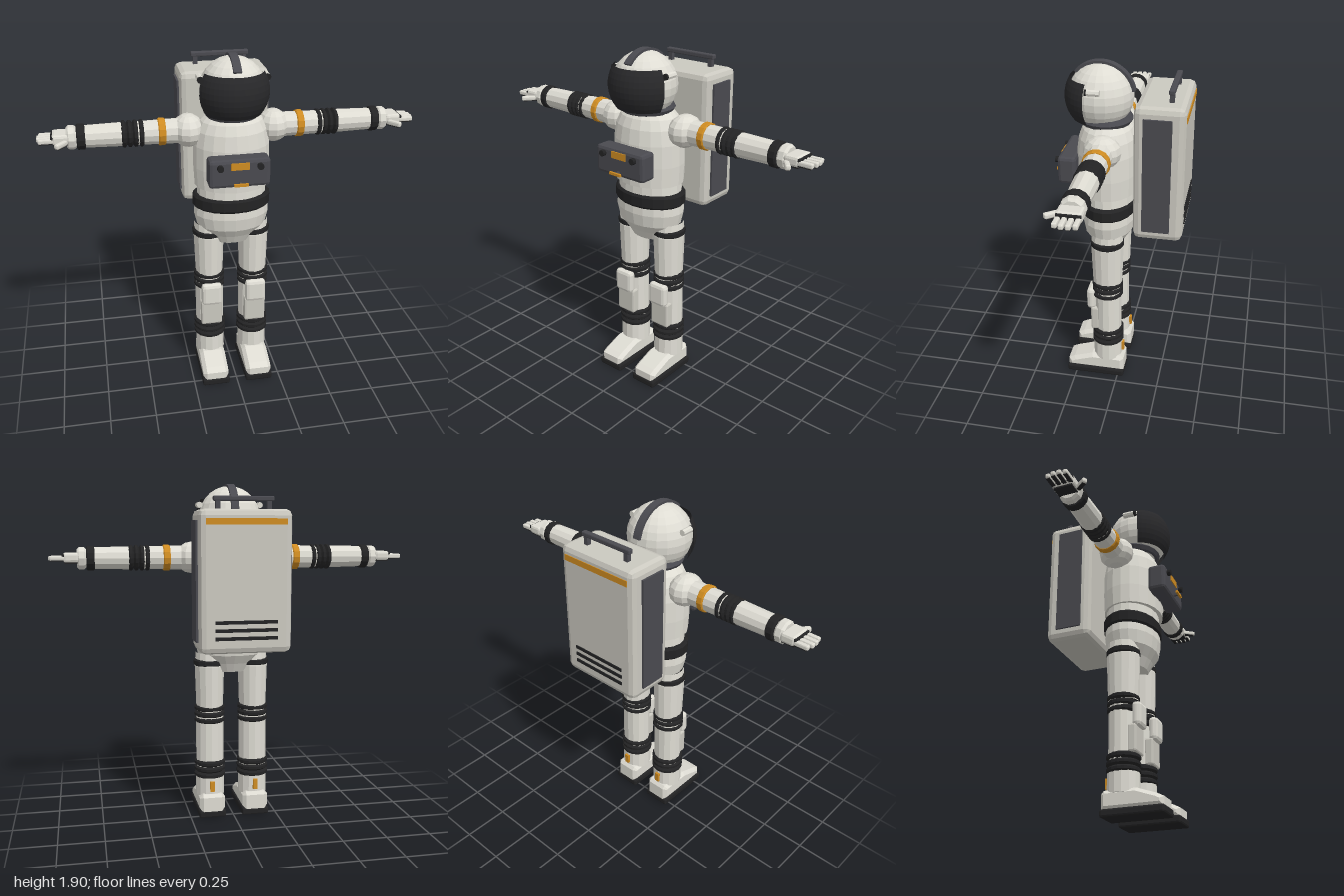
import * as THREE from 'three';
import { RoundedBoxGeometry } from 'three/addons/geometries/RoundedBoxGeometry.js';

const mat = (name, color, extra = {}) => {
  const m = new THREE.MeshStandardMaterial({ color, ...extra });
  m.name = name;
  return m;
};

export function createModel() {
  const suit = mat('suit white', 0xdedcd3);
  const shell = mat('pack grey', 0xcbc9c0);
  const dark = mat('dark grey', 0x4a4a50);
  const black = mat('black rubber', 0x232324);
  const glass = mat('visor', 0x28282a, { side: THREE.DoubleSide });
  const orange = mat('orange', 0xcf8c22);

  const model = new THREE.Group();
  model.name = 'astronaut';

  // Faceted mesh: every face gets its own normal
  function add(parent, name, geometry, material, x = 0, y = 0, z = 0) {
    const g = geometry.index ? geometry.toNonIndexed() : geometry;
    g.computeVertexNormals();
    const mesh = new THREE.Mesh(g, material);
    mesh.name = name;
    mesh.position.set(x, y, z);
    parent.add(mesh);
    return mesh;
  }
  const box = (w, h, d) => new THREE.BoxGeometry(w, h, d);
  const chamfer = (w, h, d, r) => new RoundedBoxGeometry(w, h, d, 1, r);
  const lathe = (pts, sides, depth = 1) =>
    new THREE.LatheGeometry(pts.map(p => new THREE.Vector2(...p)), sides).scale(1, 1, depth);
  // Short band with chamfered rims, centred on its axis
  const band = (r, h, sides = 14, depth = 1, c = 0.012) => lathe(
    [[0, -h / 2], [r - c, -h / 2], [r, -h / 2 + c], [r, h / 2 - c], [r - c, h / 2], [0, h / 2]], sides, depth);
  // Ribbed flexible joint
  function bellows(r, h, ribs, sides = 16) {
    const pts = [[0, -h / 2]], p = h / ribs;
    for (let i = 0; i < ribs; i++) {
      const y = -h / 2 + i * p;
      pts.push([r - 0.013, y], [r, y + p * 0.3], [r, y + p * 0.7], [r - 0.013, y + p]);
    }
    pts.push([0, h / 2]);
    return lathe(pts, sides);
  }
  // Side outline in (z, y), extruded across x
  const sideExtrude = (shape, width, bevel = 0) => new THREE.ExtrudeGeometry(shape, {
    depth: width - 2 * bevel, curveSegments: 18, bevelEnabled: bevel > 0,
    bevelThickness: bevel, bevelSize: bevel, bevelOffset: -bevel, bevelSegments: 1,
  }).translate(0, 0, bevel - width / 2).rotateY(-Math.PI / 2);

  // Body
  add(model, 'torso', lathe([[0, 1.19], [0.2, 1.19], [0.206, 1.3], [0.204, 1.42], [0.19, 1.5],
    [0.165, 1.55], [0.13, 1.585], [0, 1.59]], 20, 0.81), suit, 0, 0, 0.08);
  add(model, 'waist', lathe([[0.19, 1.1], [0.186, 1.2]], 20, 0.77), suit, 0, 0, 0.075);
  add(model, 'belt', band(0.214, 0.076, 20, 0.73), black, 0, 1.1, 0.075);
  add(model, 'hips', lathe([[0, 0.848], [0.11, 0.85], [0.145, 0.9], [0.19, 0.95], [0.207, 1.02],
    [0.203, 1.08], [0, 1.08]], 20, 0.72), suit, 0, 0, 0.075);
  add(model, 'neckRing', new THREE.TorusGeometry(0.122, 0.025, 6, 20).rotateX(Math.PI / 2), dark, 0, 1.594, 0.092);

  // Helmet
  const head = new THREE.Group();
  head.name = 'helmet';
  head.position.set(0, 1.715, 0.115);
  model.add(head);
  add(head, 'helmetShell', new THREE.SphereGeometry(0.173, 20, 14), suit);
  add(head, 'visor', new THREE.SphereGeometry(0.191, 18, 8, 0.32, Math.PI - 0.64, 1.0, 1.24), glass);
  const arc = new THREE.Shape();
  arc.absarc(0, 0, 0.184, 0.74, 2.96, false);
  arc.absarc(0, 0, 0.162, 2.96, 0.74, true);
  add(head, 'crest', sideExtrude(arc, 0.042), dark);
  for (const s of [-1, 1]) {
    add(head, 'lampHousing', new THREE.CylinderGeometry(0.017, 0.017, 0.065, 8).rotateX(Math.PI / 2),
      suit, s * 0.172, 0.068, 0.005);
    add(head, 'lampFront', new THREE.CylinderGeometry(0.017, 0.017, 0.012, 8).rotateX(Math.PI / 2),
      black, s * 0.172, 0.068, 0.043);
  }

  // Chest control box
  add(model, 'chestBox', chamfer(0.32, 0.152, 0.1, 0.018), dark, 0, 1.334, 0.275);
  add(model, 'chestScreen', box(0.096, 0.037, 0.008), orange, 0, 1.376, 0.326);
  add(model, 'chestLeverStem', box(0.012, 0.012, 0.035), dark, 0, 1.286, 0.336);
  add(model, 'chestLever', box(0.074, 0.014, 0.012), orange, 0, 1.286, 0.355);
  for (const s of [-1, 1])
    add(model, 'chestKnob', new THREE.CylinderGeometry(0.017, 0.017, 0.026, 10).rotateX(Math.PI / 2),
      black, s * 0.103, 1.374, 0.333);

  // Backpack
  const pack = new THREE.Group();
  pack.name = 'backpack';
  pack.position.set(0, 1.381, -0.225);
  model.add(pack);
  add(pack, 'packShell', chamfer(0.488, 0.742, 0.262, 0.032), shell);
  add(pack, 'packStripe', box(0.424, 0.032, 0.008), orange, 0, 0.308, -0.131);
  for (let i = 0; i < 3; i++)
    add(pack, 'packVent', box(0.33, 0.018, 0.009), black, 0, -0.205 - i * 0.042, -0.132);
  add(pack, 'packHandleBar', chamfer(0.32, 0.026, 0.03, 0.006), dark, 0, 0.425, -0.047);
  for (const s of [-1, 1]) {
    add(pack, 'packSidePanel', box(0.02, 0.63, 0.146), dark, s * 0.245, 0, 0.008);
    add(pack, 'packHandlePost', box(0.024, 0.06, 0.024), dark, s * 0.135, 0.39, -0.047);
  }

  const bootShape = new THREE.Shape([[-0.035, 0.035], [0.3, 0.035], [0.3, 0.082], [0.265, 0.1],
    [0.155, 0.138], [-0.02, 0.138], [-0.035, 0.12]].map(p => new THREE.Vector2(...p)));

  for (const s of [-1, 1]) {
    const side = s > 0 ? 'left' : 'right';

    // Arm: pieces built along y, laid outward along x
    const arm = new THREE.Group();
    arm.name = side + 'Arm';
    arm.position.set(0, 1.495, 0.065);
    model.add(arm);
    const along = (name, g, m, x) => add(arm, name, g.rotateZ(-s * Math.PI / 2), m, s * x);
    add(arm, 'shoulder', new THREE.SphereGeometry(0.1, 12, 8).scale(0.85, 0.87, 1), suit, s * 0.228);
    along('upperArm', new THREE.CylinderGeometry(0.062, 0.067, 0.24, 12), suit, 0.37);
    along('armBand', band(0.072, 0.038, 14, 1, 0.005), orange, 0.366);
    along('elbowJoint', bellows(0.07, 0.12, 4), black, 0.516);
    along('forearm', new THREE.CylinderGeometry(0.058, 0.063, 0.22, 12), suit, 0.67);
    along('wristRing', band(0.067, 0.044, 14, 1, 0.006), black, 0.778);
    along('gloveCuff', band(0.062, 0.052, 10), suit, 0.825);
    // Hand
    add(arm, 'palm', chamfer(0.085, 0.052, 0.122, 0.014), suit, s * 0.881, 0.004, -0.002);
    add(arm, 'palmGrip', box(0.07, 0.009, 0.1), black, s * 0.881, -0.023, -0.002);
    add(arm, 'knuckleBar', chamfer(0.022, 0.032, 0.116, 0.006), black, s * 0.918, 0.008, -0.002);
    for (let i = 0; i < 4; i++) {
      const z = (i - 1.5) * 0.031 - 0.002, tip = i === 0 || i === 3 ? 0.992 : 1;
      add(arm, 'finger', chamfer(tip - 0.91, 0.025, 0.025, 0.007), suit, s * (tip + 0.91) / 2, 0.001, z);
      add(arm, 'fingerGrip', box(tip - 0.925, 0.008, 0.02), black, s * (tip + 0.91) / 2, -0.011, z);
    }
    const thumb = add(arm, 'thumb', chamfer(0.08, 0.027, 0.027, 0.008), suit, s * 0.878, -0.008, 0.082);
    thumb.rotation.y = -s * 0.92;
    const pad = add(arm, 'thumbGrip', box(0.06, 0.008, 0.02), black, s * 0.878, -0.02, 0.082);
    pad.rotation.y = -s * 0.92;

    // Leg
    const leg = new THREE.Group();
    leg.name = side + 'Leg';
    leg.position.set(s * 0.126, 0, 0.066);
    model.add(leg);
    add(leg, 'thigh', lathe([[0.076, 0.62], [0.084, 0.88], [0.078, 0.96]], 14, 1.1), suit);
    add(leg, 'thighBand', band(0.091, 0.046, 14, 1.04), black, 0, 0.902, 0);
    add(leg, 'kneeJoint', bellows(0.088, 0.104, 3), black, 0, 0.602, 0);
    add(leg, 'shin', new THREE.CylinderGeometry(0.08, 0.08, 0.3, 14).scale(1, 1, 0.95), suit, 0, 0.44, -0.003);
    add(leg, 'kneePad', chamfer(0.116, 0.134, 0.05, 0.02), suit, 0, 0.533, 0.09);
    add(leg, 'shinPlate', chamfer(0.12, 0.15, 0.05, 0.01), shell, 0, 0.402, 0.066);
    add(leg, 'ankleJoint', bellows(0.091, 0.106, 3), black, 0, 0.278, 0);
    add(leg, 'bootShaft', new THREE.CylinderGeometry(0.081, 0.083, 0.13, 14).scale(1, 1, 1.05), suit, 0, 0.185, 0);
    add(leg, 'heelTab', box(0.026, 0.058, 0.018), orange, 0, 0.184, -0.088);
    add(leg, 'boot', sideExtrude(bootShape, 0.148, 0.02), suit, 0, 0, -0.066);
    add(leg, 'sole', chamfer(0.156, 0.042, 0.342, 0.01), black, 0, 0.021, 0.068);
  }
  return model;
}
